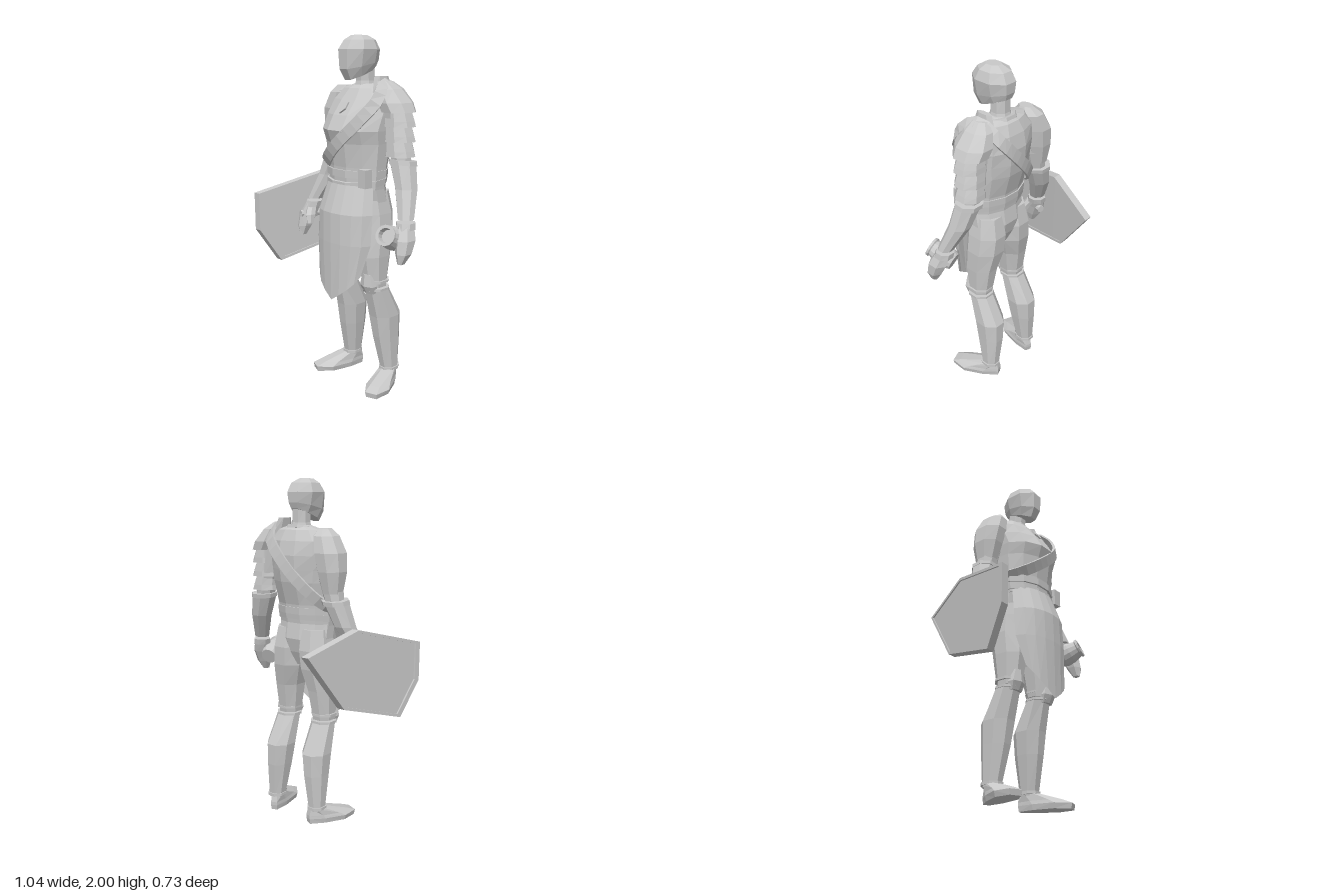
import * as THREE from 'three';

const grey = new THREE.MeshStandardMaterial({ color: 0xc8c8c8, flatShading: true, side: THREE.DoubleSide });
grey.name = 'plain grey';

function part(parent, name, geometry) {
  const mesh = new THREE.Mesh(geometry, grey);
  mesh.name = name;
  parent.add(mesh);
  return mesh;
}

// Surface through rows of points; closed joins the last column to the first
function skin(rows, closed = true) {
  const pos = [];
  const tri = new THREE.Triangle();
  const put = (a, b, c) => {
    tri.set(a, b, c);
    if (tri.getArea() > 1e-8) for (const p of [a, b, c]) pos.push(p.x, p.y, p.z);
  };
  for (let i = 0; i < rows.length - 1; i++) {
    const n = rows[i].length;
    for (let j = 0; j < (closed ? n : n - 1); j++) {
      const k = (j + 1) % n;
      put(rows[i][j], rows[i + 1][j], rows[i][k]);
      put(rows[i][k], rows[i + 1][j], rows[i + 1][k]);
    }
  }
  const g = new THREE.BufferGeometry();
  g.setAttribute('position', new THREE.Float32BufferAttribute(pos, 3));
  g.computeVertexNormals();
  return g;
}

// Capped loft, bottom to top; each ring is [y, x0, x1, z0, z1, slope along z]
function loft(rings, n = 8) {
  const grow = 1 / Math.cos(Math.PI / n);
  const rows = rings.map(([y, x0, x1, z0, z1, slope = 0]) => Array.from({ length: n }, (_, j) => {
    const a = (j + 0.5) / n * Math.PI * 2;
    const dz = (z1 - z0) / 2 * grow * Math.sin(a);
    return new THREE.Vector3((x0 + x1) / 2 + (x1 - x0) / 2 * grow * Math.cos(a), y + slope * dz, (z0 + z1) / 2 + dz);
  }));
  const cap = ([y, x0, x1, z0, z1]) => Array(n).fill(new THREE.Vector3((x0 + x1) / 2, y, (z0 + z1) / 2));
  return skin([cap(rings[0]), ...rows, cap(rings[rings.length - 1])]);
}

// Shoe that widens towards the toe
function makeShoe() {
  const g = loft([[0, -0.045, 0.045, -0.055, 0.245], [0.03, -0.05, 0.05, -0.06, 0.25],
    [0.05, -0.046, 0.046, -0.06, 0.2], [0.095, -0.042, 0.042, -0.05, 0.055]]);
  const p = g.attributes.position;
  for (let i = 0; i < p.count; i++) p.setX(i, p.getX(i) * (1 + Math.max(0, p.getZ(i)) * 3));
  g.computeVertexNormals();
  return g;
}

// Leg, greave and shoe, built for +x
function makeLeg() {
  const leg = new THREE.Group();
  part(leg, 'thigh', loft([[0.62, 0.07, 0.195, -0.02, 0.115], [0.8, 0.045, 0.205, -0.05, 0.14],
    [0.93, 0.005, 0.205, -0.08, 0.135], [1.04, 0, 0.192, -0.088, 0.135], [1.16, 0.01, 0.17, -0.065, 0.13]]));
  part(leg, 'greave', loft([[0.08, 0.115, 0.205, -0.1, 0], [0.3, 0.08, 0.212, -0.118, 0.045],
    [0.43, 0.063, 0.218, -0.12, 0.065], [0.61, 0.07, 0.203, -0.025, 0.105]]));
  part(leg, 'ankleBand', loft([[0.088, 0.107, 0.213, -0.108, 0.012], [0.105, 0.107, 0.213, -0.108, 0.012]]));
  for (const y of [0.6, 0.645])
    part(leg, 'kneeBand', loft([[y, 0.065, 0.208, -0.03, 0.118], [y + 0.014, 0.065, 0.208, -0.03, 0.118]]));
  part(leg, 'kneeCap', loft([[0.585, 0.1, 0.18, 0.07, 0.115], [0.63, 0.09, 0.19, 0.07, 0.135], [0.7, 0.11, 0.17, 0.09, 0.13]], 6));
  const shoe = part(leg, 'shoe', makeShoe());
  shoe.position.set(0.16, 0, -0.05);
  shoe.rotation.y = 0.36;
  return leg;
}

// Arm, bracer and hand, built for +x
function makeArm() {
  const arm = new THREE.Group();
  part(arm, 'upperArm', loft([[1.32, 0.215, 0.315, -0.075, 0.025], [1.45, 0.175, 0.3, -0.09, 0.04],
    [1.6, 0.14, 0.295, -0.09, 0.055], [1.7, 0.13, 0.25, -0.07, 0.045]]));
  part(arm, 'bracer', loft([[1.05, 0.335, 0.42, 0.015, 0.1], [1.2, 0.26, 0.38, -0.06, 0.055],
    [1.33, 0.2, 0.345, -0.09, 0.04]]));
  part(arm, 'elbowCuff', loft([[1.32, 0.197, 0.35, -0.095, 0.045, 0.1], [1.345, 0.192, 0.345, -0.098, 0.042, 0.1]]));
  part(arm, 'wristCuff', loft([[1.0, 0.338, 0.436, 0.015, 0.12], [1.035, 0.33, 0.43, 0.01, 0.11]]));
  part(arm, 'hand', loft([[0.825, 0.4, 0.43, 0.11, 0.15], [0.88, 0.38, 0.455, 0.075, 0.155],
    [0.95, 0.365, 0.455, 0.04, 0.145], [1.02, 0.345, 0.425, 0.025, 0.11]], 6));
  part(arm, 'thumb', loft([[0.91, 0.32, 0.35, 0.115, 0.155], [0.96, 0.325, 0.372, 0.095, 0.15], [1.0, 0.345, 0.395, 0.07, 0.125]], 6));
  return arm;
}

// Sash that runs from the left shoulder round the ribs
function makeSash() {
  const path = new THREE.CatmullRomCurve3([[0.19, 1.735, 0.05], [0.21, 1.66, 0.115], [0.14, 1.55, 0.187], [-0.01, 1.41, 0.222],
    [-0.14, 1.31, 0.165], [-0.2, 1.28, 0.06], [-0.19, 1.31, -0.03], [-0.11, 1.4, -0.102], [0.02, 1.54, -0.138],
    [0.13, 1.67, -0.118], [0.17, 1.75, -0.03]].map(p => new THREE.Vector3(...p)), true);
  const core = new THREE.Vector3(0, 1.48, 0.04);
  const rows = [];
  for (let i = 0; i <= 28; i++) {
    const p = path.getPointAt(i / 28 % 1), t = path.getTangentAt(i / 28 % 1);
    const side = new THREE.Vector3().crossVectors(t, p.clone().sub(core)).normalize();
    const out = new THREE.Vector3().crossVectors(side, t).normalize();
    rows.push([[1, -1], [1, 1], [-1, 1], [-1, -1]].map(([w, h]) =>
      p.clone().addScaledVector(side, w * 0.032).addScaledVector(out, h * 0.008)));
  }
  return skin(rows);
}

// Hanging cloth with a pointed hem
function makeApron() {
  const levels = [[0.545, 0.168, 0.26, 0.19], [0.88, 0.205, 0.262, 0.15], [1.05, 0.203, 0.258, 0.135], [1.205, 0.172, 0.205, 0.1]];
  const rows = levels.map(([y, w, zMid, zEdge], i) => Array.from({ length: 9 }, (_, j) => {
    const u = 1 - j / 4;
    return new THREE.Vector3(w * Math.sin(u * 1.4) / Math.sin(1.4), y + (i === 0 ? 0.16 * Math.abs(u) : 0),
      zMid + (zEdge - zMid) * u * u);
  }));
  return skin(rows, false);
}

// Bent, rimmed shield
function makeShield() {
  const edge = [[-0.365, 1.085], [-0.05, 1.2], [0.365, 1.09], [0.365, 0.865], [0.24, 0.66], [-0.05, 0.744], [-0.14, 0.77]];
  const bend = z => z < -0.05 ? -0.345 - (z + 0.05) * 0.3 : -0.345 - (z + 0.05) * 0.31;
  const ring = (scale, depth) => edge.map(([z, y]) => {
    const zz = -0.05 + (z + 0.05) * scale;
    return new THREE.Vector3(bend(zz) - depth, 0.97 + (y - 0.97) * scale, zz);
  });
  return skin([ring(0, 0.006), ring(0.93, 0.006), ring(0.93, 0), ring(1, 0),
    ring(1, 0.048), ring(0.93, 0.048), ring(0.93, 0.04), ring(0, 0.04)]);
}

export function createModel() {
  const model = new THREE.Group();
  model.name = 'warrior';
  const body = new THREE.Group();
  body.name = 'body';
  body.position.x = 0.06;
  model.add(body);

  // Head and trunk
  part(body, 'head', loft([[1.8, -0.055, 0.055, -0.06, 0.13, -0.37], [1.845, -0.073, 0.073, -0.072, 0.162, -0.2],
    [1.925, -0.088, 0.088, -0.076, 0.165], [1.975, -0.07, 0.07, -0.05, 0.13], [2, -0.035, 0.035, 0, 0.09]]));
  part(body, 'neck', loft([[1.7, -0.065, 0.065, -0.065, 0.065], [1.76, -0.05, 0.05, -0.05, 0.05], [1.85, -0.048, 0.048, -0.05, 0.055]]));
  part(body, 'collar', loft([[1.715, -0.09, 0.09, -0.08, 0.085, -0.2], [1.735, -0.08, 0.08, -0.075, 0.07, -0.2]]));
  part(body, 'torso', loft([[1.18, -0.18, 0.18, -0.065, 0.185], [1.3, -0.187, 0.187, -0.078, 0.188],
    [1.43, -0.197, 0.197, -0.115, 0.205], [1.5, -0.205, 0.205, -0.125, 0.23], [1.58, -0.208, 0.208, -0.13, 0.185],
    [1.66, -0.205, 0.205, -0.115, 0.125], [1.72, -0.15, 0.15, -0.09, 0.08], [1.745, -0.06, 0.06, -0.06, 0.045]], 12));
  part(body, 'hips', loft([[0.94, -0.05, 0.05, -0.025, 0.06], [1.02, -0.14, 0.14, -0.06, 0.12],
    [1.1, -0.18, 0.18, -0.08, 0.15], [1.2, -0.178, 0.178, -0.065, 0.18]], 12));
  part(body, 'belt', loft([[1.2, -0.187, 0.187, -0.075, 0.2, -0.12], [1.235, -0.19, 0.19, -0.08, 0.2, -0.12]], 12));
  part(body, 'upperBelt', loft([[1.245, -0.19, 0.19, -0.08, 0.198], [1.285, -0.192, 0.192, -0.083, 0.198]], 12));
  part(body, 'pouch', new THREE.BoxGeometry(0.055, 0.1, 0.05)).position.set(0.165, 1.25, 0.155);
  part(body, 'apron', makeApron());
  part(body, 'sash', makeSash());

  // Plain breast badge
  const crest = new THREE.Shape([[-0.03, 0.03], [0.03, 0.03], [0.03, -0.01], [0, -0.04], [-0.03, -0.01]].map(p => new THREE.Vector2(...p)));
  const badge = part(body, 'breastBadge', new THREE.ExtrudeGeometry(crest, { depth: 0.009, bevelEnabled: false }));
  badge.position.set(-0.005, 1.62, 0.158);
  badge.rotation.x = -0.6;

  // Limbs on both sides
  for (const side of [1, -1]) {
    for (const [name, limb] of [['Leg', makeLeg()], ['Arm', makeArm()]]) {
      limb.name = (side > 0 ? 'left' : 'right') + name;
      limb.scale.x = side;
      body.add(limb);
    }
  }

  // Left shoulder: cap with a raised lip over three flared lames
  part(body, 'leftPauldron', loft([[1.6, 0.16, 0.325, -0.115, 0.075], [1.65, 0.13, 0.3, -0.12, 0.083],
    [1.72, 0.12, 0.235, -0.095, 0.07], [1.76, 0.125, 0.18, -0.05, 0.045]]));
  part(body, 'pauldronLip', loft([[1.7, 0.115, 0.15, -0.08, 0.06], [1.785, 0.105, 0.135, -0.05, 0.04]], 6));
  for (let i = 0; i < 3; i++) {
    const y = 1.525 - i * 0.08, x = i * 0.008;
    part(body, 'shoulderLame', loft([[y, 0.16 + x, 0.335, -0.1, 0.058], [y + 0.03, 0.165 + x, 0.325, -0.098, 0.054],
      [y + 0.095, 0.165 + x, 0.3, -0.09, 0.045]]));
  }

  // Right shoulder: one long rounded guard
  part(body, 'rightPauldron', loft([[1.38, -0.305, -0.205, -0.09, 0.03], [1.5, -0.322, -0.17, -0.115, 0.06],
    [1.6, -0.312, -0.15, -0.122, 0.075], [1.69, -0.265, -0.135, -0.1, 0.06], [1.73, -0.215, -0.155, -0.05, 0.03]]));

  // Shield with its hand grip
  part(model, 'shield', makeShield());
  const grip = part(model, 'shieldGrip', new THREE.CylinderGeometry(0.022, 0.022, 0.13, 8));
  grip.position.set(-0.335, 0.955, 0.085);
  grip.rotation.set(Math.PI / 2, 0, 0.3);

  // Hollow mug held in the left hand
  const profile = [[0, 0], [0.05, 0], [0.066, 0.045], [0.064, 0.09], [0.05, 0.137], [0.058, 0.143], [0.057, 0.155],
    [0.04, 0.155], [0.036, 0.12], [0, 0.12]].map(p => new THREE.Vector2(...p));
  const mug = part(model, 'mug', new THREE.LatheGeometry(profile, 14));
  mug.position.set(0.385, 0.925, 0.06);
  mug.quaternion.setFromUnitVectors(new THREE.Vector3(0, 1, 0), new THREE.Vector3(0.04, 0.06, 0.14).normalize());

  return model;
}
